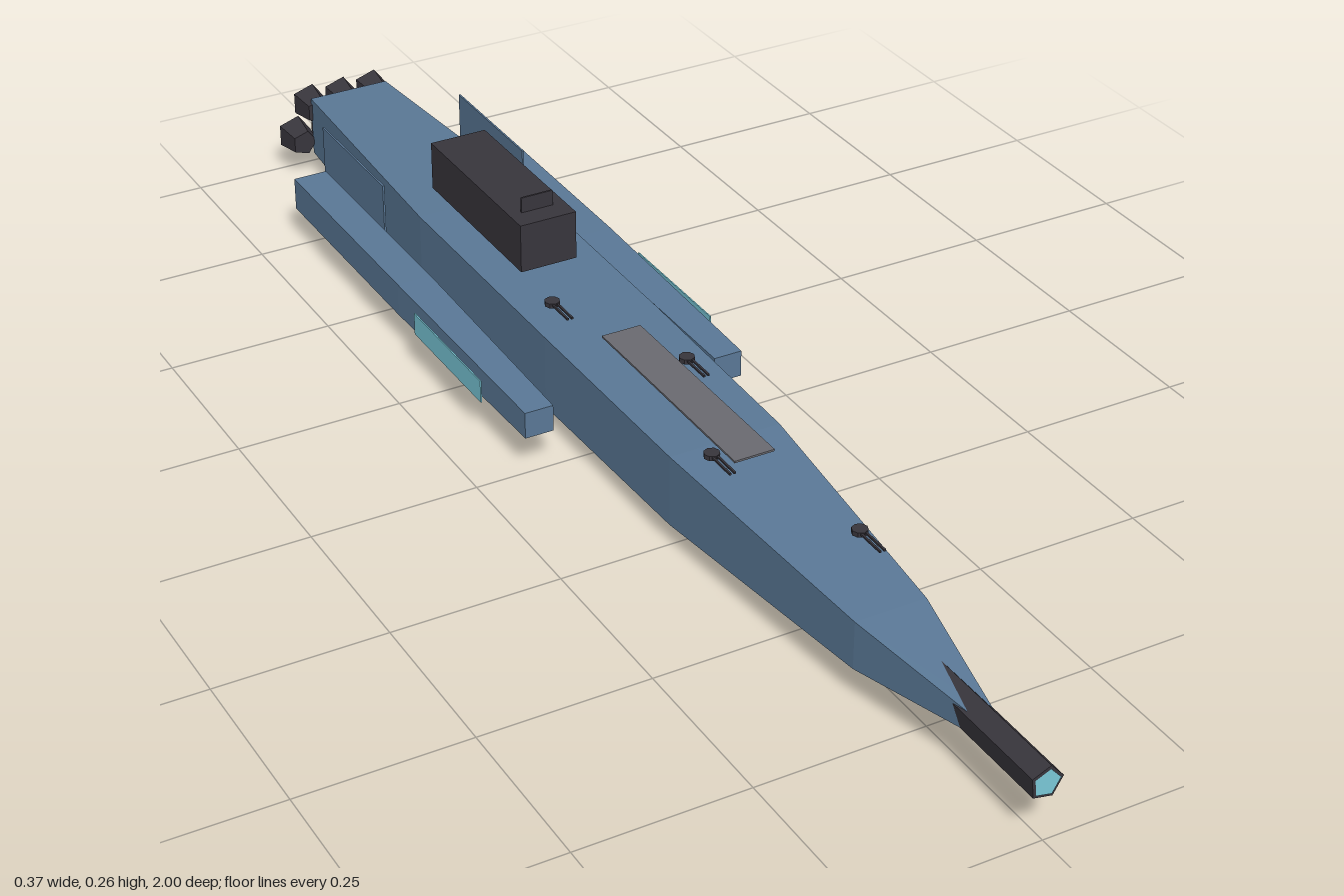
import * as THREE from 'three';

const flat = (name, color) => {
  const m = new THREE.MeshStandardMaterial({ color, flatShading: true });
  m.name = name;
  return m;
};

// Box-section body lofted through stations [z, x0, x1, y0, y1], ordered front to back
function loft(stations) {
  const ring = ([z, x0, x1, y0, y1]) => [[x0, y0, z], [x1, y0, z], [x1, y1, z], [x0, y1, z]];
  const pos = [];
  const quad = (a, b, c, d) => pos.push(...a, ...b, ...c, ...a, ...c, ...d);
  for (let i = 0; i < stations.length - 1; i++) {
    const f = ring(stations[i]), r = ring(stations[i + 1]);
    for (let k = 0; k < 4; k++) {
      const n = (k + 1) % 4;
      quad(f[k], r[k], r[n], f[n]);
    }
  }
  quad(...ring(stations[0]));
  quad(...ring(stations[stations.length - 1]).reverse());
  const g = new THREE.BufferGeometry();
  g.setAttribute('position', new THREE.Float32BufferAttribute(pos, 3));
  g.computeVertexNormals();
  return g;
}

export function createModel() {
  const model = new THREE.Group();
  model.name = 'spaceship';
  const blue = flat('hull blue', 0x5a7896);
  const dark = flat('dark metal', 0x38353c);
  const grey = flat('deck grey', 0x6a6a70);
  const cyan = flat('glow cyan', 0x7ac8d8);

  const add = (name, geo, mat, x = 0, y = 0, z = 0, parent = model) => {
    const mesh = new THREE.Mesh(geo, mat);
    mesh.name = name;
    mesh.position.set(x, y, z);
    parent.add(mesh);
    return mesh;
  };
  const box = (w, h, d) => new THREE.BoxGeometry(w, h, d);
  // Five-sided tube along z with one corner pointing to +x
  const penta = (rFront, rBack, len) =>
    new THREE.CylinderGeometry(rFront, rBack, len, 5).rotateX(Math.PI / 2).rotateZ(Math.PI / 2);

  // Main hull
  const hull = [
    [0.88, 0.012, 0.075, 0.099],
    [0.66, 0.053, 0.05, 0.122],
    [0.25, 0.085, 0.034, 0.142],
    [-0.1, 0.09, 0.03, 0.145],
    [-0.5, 0.092, 0.028, 0.146],
    [-0.96, 0.066, 0.038, 0.135],
  ];
  add('hull', loft(hull.map(([z, w, y0, y1]) => [z, -w, w, y0, y1])), blue);

  // Bow gun with glowing muzzle
  add('bowGun', penta(0.0245, 0.0245, 0.24).rotateZ(0.1), dark, 0, 0.087, 0.879);
  add('bowGunMuzzle', new THREE.CircleGeometry(0.02, 5, 0.1), cyan, 0, 0.087, 1);

  // Engine cluster: three above, four below
  const engines = [];
  for (const x of [-0.055, 0, 0.055]) engines.push([x, 0.112]);
  for (const x of [-0.083, -0.028, 0.028, 0.083]) engines.push([x, 0.061]);
  for (const [x, y] of engines) {
    add('engineNozzle', penta(0.021, 0.029, 0.044), dark, x, y, -0.977);
    add('engineGlow', new THREE.CircleGeometry(0.023, 5, Math.PI).rotateY(Math.PI), cyan, x, y, -1);
  }

  // Bridge block, its mast plate and the forward deck plate
  add('bridge', box(0.09, 0.076, 0.294), dark, -0.001, 0.198, -0.403);
  add('mastPlate', box(0.051, 0.024, 0.003), dark, -0.001, 0.248, -0.292);
  add('deckPlate', box(0.061, 0.003, 0.366), grey, -0.002, 0.163, 0.147);

  // Side pods, glowing strips and fins
  for (const s of [-1, 1]) {
    const side = s < 0 ? 'right' : 'left';
    const span = (a, b) => (s > 0 ? [a, b] : [-b, -a]);
    add(side + 'Pod', loft([
      [0, ...span(0.129, 0.173), 0.058, 0.099],
      [-0.4, ...span(0.124, 0.178), 0.052, 0.104],
      [-0.775, ...span(0.124, 0.178), 0.052, 0.104],
    ]), blue);
    add(side + 'GlowStrip', box(0.002, 0.035, 0.215), cyan, s * 0.186, 0.078, -0.218);
    add(side + 'Fin', box(0.003, 0.171, 0.22), blue, s * 0.118, 0.087, -0.68);
  }

  // Deck turrets with twin barrels
  const turrets = [[0.045, 0.14, 0.515], [-0.047, 0.16, 0.295], [0.045, 0.16, 0.067],
    [-0.047, 0.16, -0.158], [0.045, 0.16, -0.382]];
  for (const [x, y, z] of turrets) {
    const turret = new THREE.Group();
    turret.name = 'turret';
    turret.position.set(x, y, z);
    add('turretBase', new THREE.CylinderGeometry(0.0115, 0.0115, 0.007, 8), dark, 0, 0, 0, turret);
    for (const s of [-1, 1])
      add('turretBarrel', box(0.003, 0.003, 0.055), dark, s * 0.0035, 0.001, 0.027, turret);
    model.add(turret);
  }

  // Flat keel guns under the hull
  const keelGuns = [[0.045, 0.032, 0.43], [-0.047, 0.012, 0.21], [0.045, 0.012, -0.02],
    [-0.047, 0.012, -0.24], [0.045, 0.012, -0.46]];
  for (const [x, y, z] of keelGuns) add('keelGun', box(0.011, 0.003, 0.045), dark, x, y, z);

  return model;
}
